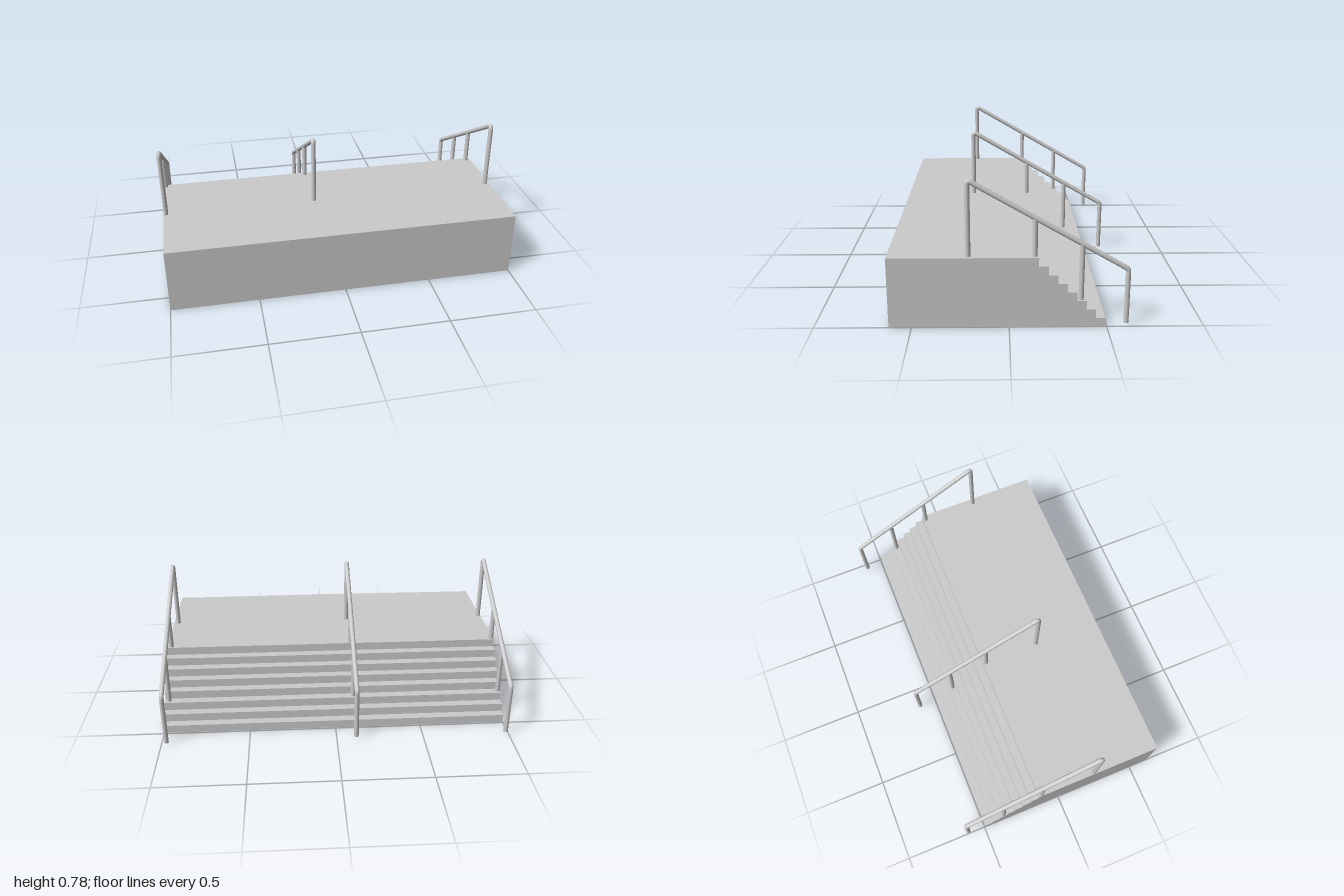
import * as THREE from 'three';

const material = new THREE.MeshStandardMaterial({ color: 0xcccccc });
const HEIGHT = 0.38, STEPS = 8, RUN = 0.049, FRONT = 0.617, STAIR_TOP = -0.149;
const RISE = HEIGHT / STEPS, PIPE = 0.0135;

function addMesh(parent, geometry, name) {
  const mesh = new THREE.Mesh(geometry, material);
  mesh.name = name;
  parent.add(mesh);
  return mesh;
}

// Platform and stairs share one stepped side profile, extruded across the width
function platformGeometry() {
  const shape = new THREE.Shape();
  shape.moveTo(-FRONT, 0);
  for (let i = 0; i < STEPS; i++) {
    const z = STAIR_TOP - (STEPS - 1 - i) * RUN;
    shape.lineTo(-z, i * RISE);
    shape.lineTo(-z, (i + 1) * RISE);
  }
  shape.lineTo(-FRONT, HEIGHT);
  shape.closePath();
  return new THREE.ExtrudeGeometry(shape, { depth: 2, bevelEnabled: false })
    .rotateY(Math.PI / 2)
    .translate(-1, 0, 0);
}

// Bent pipe: top post, sloping rail and bottom post with small rounded elbows
function railGeometry() {
  const corners = [[0.38, 0.207], [0.776, 0.207], [0.307, -0.603], [0.01, -0.603]]
    .map(([y, z]) => new THREE.Vector3(0, y, z));
  const bends = [0, 0.026, 0.016];
  const path = new THREE.CurvePath();
  let start = corners[0];
  for (let i = 1; i < 3; i++) {
    const c = corners[i];
    const toward = (p) => p.clone().sub(c).setLength(bends[i]).add(c);
    const a = toward(corners[i - 1]), b = toward(corners[i + 1]);
    path.add(new THREE.LineCurve3(start, a));
    path.add(new THREE.QuadraticBezierCurve3(a, c, b));
    start = b;
  }
  path.add(new THREE.LineCurve3(start, corners[3]));
  return new THREE.TubeGeometry(path, 240, PIPE, 16);
}

function handrail(x, name, stepPostShift = 0) {
  const group = new THREE.Group();
  group.name = name;
  group.position.x = x;
  addMesh(group, railGeometry(), 'bentRail');

  // Closed foot of the lowest post
  const foot = addMesh(group, new THREE.CircleGeometry(PIPE, 16), 'railFoot');
  foot.rotation.x = Math.PI / 2;
  foot.position.set(0, 0.01, -0.603);

  // Intermediate posts: [z, bottom, top, sideways shift]
  const posts = [[-0.129, HEIGHT, 0.578, 0], [-0.367, 3 * RISE, 0.44, stepPostShift]];
  for (const [z, bottom, top, shift] of posts) {
    const post = addMesh(group, new THREE.CylinderGeometry(PIPE, PIPE, top - bottom, 16), 'railPost');
    post.position.set(shift, (top + bottom) / 2, z);
  }
  return group;
}

export function createModel() {
  const model = new THREE.Group();
  model.name = 'steppedPlatform';
  addMesh(model, platformGeometry(), 'platformWithStairs');
  model.add(
    handrail(-0.986, 'rightHandrail'),
    handrail(-0.113, 'middleHandrail'),
    handrail(0.972, 'leftHandrail', 0.003)
  );
  return model;
}
